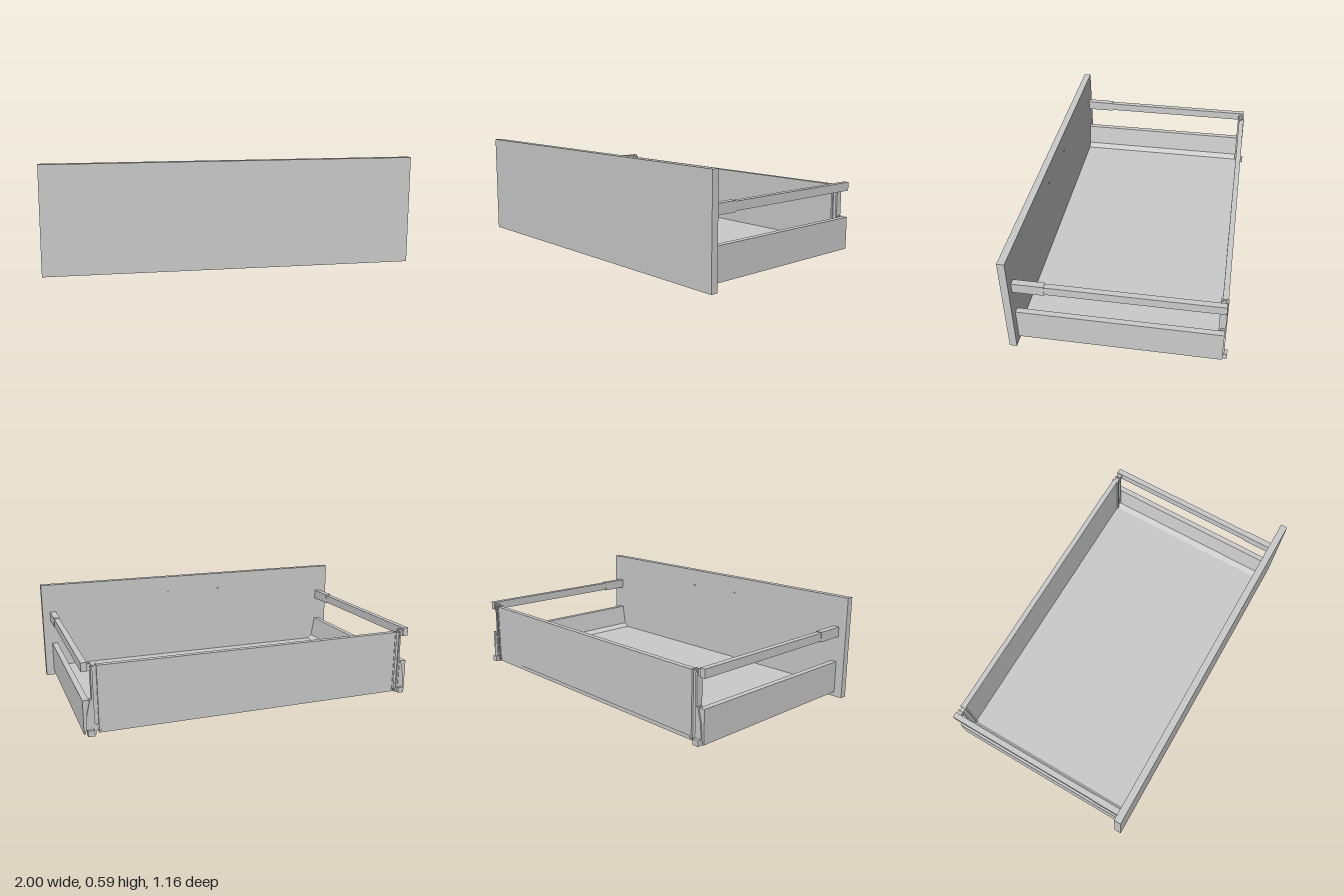
import * as THREE from 'three';

const material = new THREE.MeshStandardMaterial({ color: 0xcccccc, flatShading: true });

function add(parent, name, geometry) {
  const mesh = new THREE.Mesh(geometry, material);
  mesh.name = name;
  parent.add(mesh);
  return mesh;
}

// Box given by its limits on each axis
function box(parent, name, [x0, x1], [y0, y1], [z0, z1]) {
  const mesh = add(parent, name, new THREE.BoxGeometry(Math.abs(x1 - x0), y1 - y0, z1 - z0));
  mesh.position.set((x0 + x1) / 2, (y0 + y1) / 2, (z0 + z1) / 2);
  return mesh;
}

// Cross-section in x and y, run along z
function profile(parent, name, points, z0, z1) {
  const shape = new THREE.Shape(points.map(([x, y]) => new THREE.Vector2(x, y)));
  const geometry = new THREE.ExtrudeGeometry(shape, { depth: z1 - z0, bevelEnabled: false });
  geometry.translate(0, 0, z0);
  return add(parent, name, geometry);
}

function createSide(s) {
  const side = new THREE.Group();
  side.name = s > 0 ? 'leftSide' : 'rightSide';
  const x = (a, b) => [s * a, s * b];

  // Low side wall: slanted inside, open channel below for the runner
  const wall = [[0.952, 0.027], [0.952, 0.21], [0.92, 0.21], [0.9, 0.085], [0.87, 0.062],
    [0.87, 0.045], [0.942, 0.045], [0.942, 0.027]];
  profile(side, 'sideWall', wall.map(([a, y]) => [s * a, y]), -0.555, 0.54);

  // Runner under the wall, with its hook at the back
  box(side, 'runner', x(0.89, 0.93), [0.02, 0.045], [-0.556, 0.46]);
  box(side, 'frontCatch', x(0.88, 0.935), [0.022, 0.045], [0.46, 0.54]);
  box(side, 'rearHook', x(0.9, 0.935), [0.02, 0.052], [-0.578, -0.545]);

  // Upper rail and the sleeve joining it to the front
  box(side, 'upperRail', x(0.92, 0.952), [0.362, 0.41], [-0.557, 0.54]);
  box(side, 'railSleeve', x(0.918, 0.954), [0.357, 0.414], [0.37, 0.54]);

  // Rear bracket: strip beside the back panel, post, rail tie and tapered fin
  box(side, 'bracketStrip', x(0.87, 0.9), [0.04, 0.385], [-0.552, -0.53]);
  box(side, 'bracketLip', x(0.865, 0.875), [0.04, 0.392], [-0.563, -0.522]);
  box(side, 'bracketPost', x(0.895, 0.905), [0.045, 0.39], [-0.559, -0.522]);
  box(side, 'railTie', x(0.9, 0.925), [0.365, 0.4], [-0.55, -0.525]);
  const fin = [[0.905, 0.05], [0.94, 0.05], [0.935, 0.13], [0.915, 0.212], [0.905, 0.212]];
  profile(side, 'bracketFin', fin.map(([a, y]) => [s * a, y]), -0.562, -0.53);
  return side;
}

export function createModel() {
  const drawer = new THREE.Group();
  drawer.name = 'drawer';

  box(drawer, 'frontPanel', [-1, 1], [0, 0.587], [0.538, 0.578]);
  box(drawer, 'floor', [-0.875, 0.875], [0.027, 0.062], [-0.555, 0.54]);
  box(drawer, 'backPanel', [-0.867, 0.867], [0.05, 0.39], [-0.56, -0.53]);

  for (const s of [1, -1]) {
    drawer.add(createSide(s));

    // Screw head on the inside of the front
    const screw = add(drawer, 'screwHead', new THREE.CylinderGeometry(0.006, 0.006, 0.006, 12));
    screw.rotation.x = Math.PI / 2;
    screw.position.set(s * 0.175, 0.485, 0.536);
  }
  return drawer;
}
